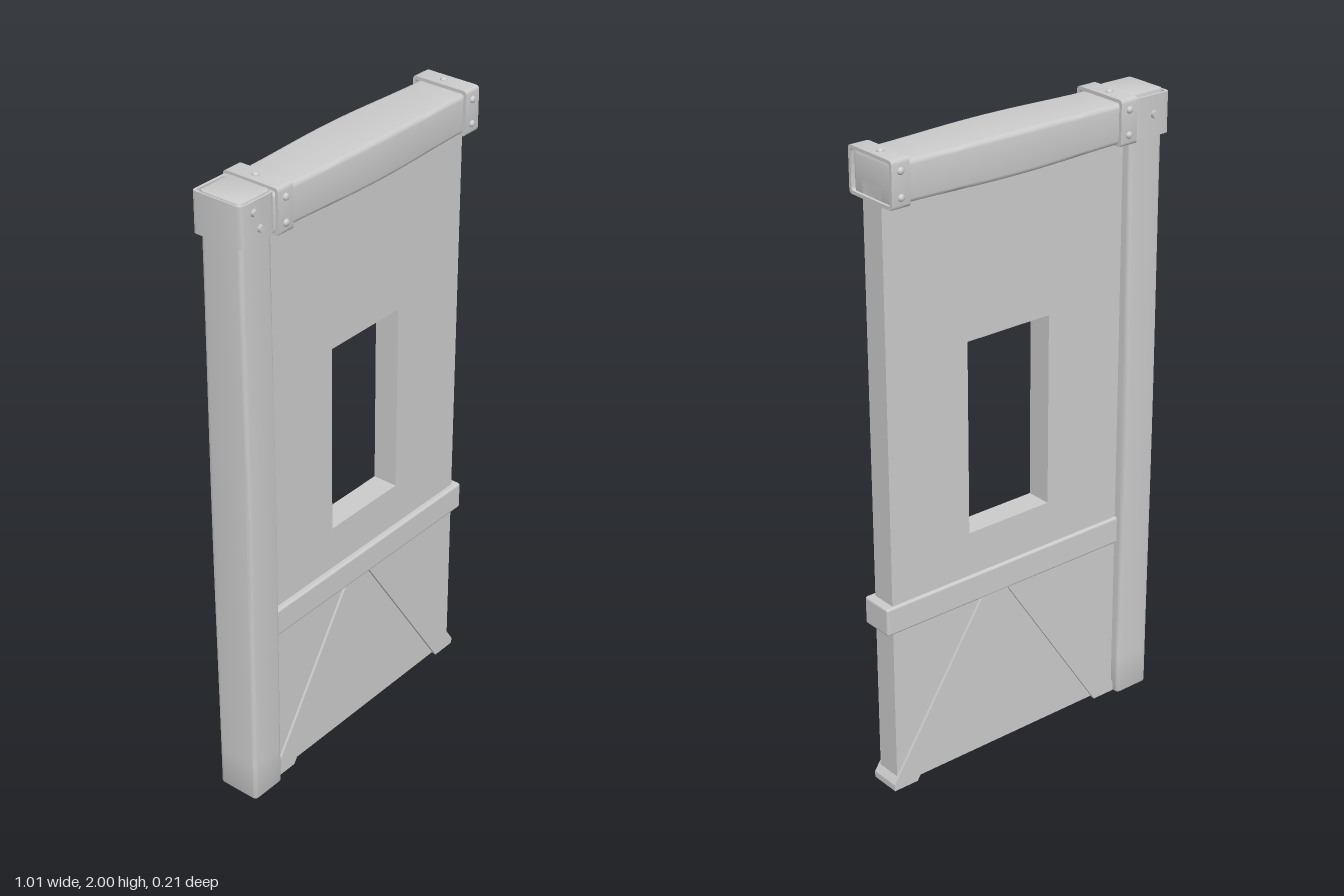
import * as THREE from 'three';
import { toCreasedNormals } from 'three/addons/utils/BufferGeometryUtils.js';
import { RoundedBoxGeometry } from 'three/addons/geometries/RoundedBoxGeometry.js';

const material = new THREE.MeshStandardMaterial({ color: 0xcccccc });

function add(parent, name, geometry, x = 0, y = 0, z = 0) {
  const mesh = new THREE.Mesh(geometry, material);
  mesh.name = name;
  mesh.position.set(x, y, z);
  parent.add(mesh);
  return mesh;
}

// Rectangle with rounded corners, centred on the origin
function roundedRect(w, h, r, Type = THREE.Shape) {
  const s = new Type(), a = w / 2, b = h / 2;
  s.moveTo(-a + r, -b);
  s.lineTo(a - r, -b).quadraticCurveTo(a, -b, a, -b + r);
  s.lineTo(a, b - r).quadraticCurveTo(a, b, a - r, b);
  s.lineTo(-a + r, b).quadraticCurveTo(-a, b, -a, b - r);
  s.lineTo(-a, -b + r).quadraticCurveTo(-a, -b, -a + r, -b);
  return s;
}

// Timber along z, gently reshaped by warp(t) = [width scale, height scale, x shift, y shift]
function timber(w, h, length, warp) {
  const bevel = 0.006;
  const g = new THREE.ExtrudeGeometry(roundedRect(w - 2 * bevel, h - 2 * bevel, 0.008), {
    depth: length - 2 * bevel, steps: 16, curveSegments: 3,
    bevelThickness: bevel, bevelSize: bevel, bevelSegments: 2,
  }).translate(0, 0, bevel);
  const p = g.attributes.position;
  for (let i = 0; i < p.count; i++) {
    const [sx, sy, dx, dy] = warp(p.getZ(i) / length);
    p.setXY(i, p.getX(i) * sx + dx, p.getY(i) * sy + dy);
  }
  return toCreasedNormals(g, 0.6);
}

// Hollow band, extruded along z and centred
function sleeve(w, h, length, wall) {
  const s = roundedRect(w, h, 0.012);
  s.holes.push(roundedRect(w - 2 * wall, h - 2 * wall, 0.008, THREE.Path));
  const g = new THREE.ExtrudeGeometry(s, { depth: length, bevelEnabled: false, curveSegments: 3 });
  return toCreasedNormals(g.translate(0, 0, -length / 2), 0.6);
}

// Slab from a front outline, between z0 and z1
function slab(points, z0, z1, hole) {
  const s = new THREE.Shape(points.map(p => new THREE.Vector2(...p)));
  if (hole) s.holes.push(new THREE.Path(hole.map(p => new THREE.Vector2(...p))));
  return new THREE.ExtrudeGeometry(s, { depth: z1 - z0, bevelEnabled: false }).translate(0, 0, z0);
}

const rect = (x0, x1, y0, y1) => [[x0, y0], [x1, y0], [x1, y1], [x0, y1]];

export function createModel() {
  const model = new THREE.Group();
  model.name = 'timberWall';

  // Plaster panel with window opening
  add(model, 'wallPanel', slab(rect(-0.4, 0.48, 0.01, 1.9), -0.035, 0.047,
    rect(-0.105, 0.195, 0.77, 1.38)));

  // Corner post, slightly swollen at mid height
  const post = timber(0.122, 0.142, 1.988, t => {
    const b = Math.sin(Math.PI * Math.min(1, t * 1.07)) ** 2;
    return [1 - 0.02 * b, 1 + 0.07 * b, 0, 0];
  }).rotateX(-Math.PI / 2);
  add(model, 'cornerPost', post, -0.44, 0, 0.004);

  // Top beam, bulging in the middle
  const beam = timber(0.166, 0.118, 0.86, t => {
    const b = Math.sin(Math.PI * t) ** 2;
    return [1 + 0.12 * b, 1 + 0.08 * b, 0, 0];
  }).rotateY(Math.PI / 2);
  add(model, 'topBeam', beam, -0.38, 1.917, 0);

  // Waist rail
  add(model, 'waistRail', new RoundedBoxGeometry(0.905, 0.09, 0.11, 2, 0.008), 0.053, 0.585, 0.01);

  // Diagonal braces under the rail
  add(model, 'leftBrace', slab([[0.15, 0.55], [0.05, 0.55], [0.41, 0], [0.495, 0], [0.495, 0.02]],
    -0.044, 0.056));
  add(model, 'rightBrace', slab([[0.06, 0.55], [-0.04, 0.55], [-0.39, 0.015], [-0.39, 0], [-0.3, 0]],
    -0.043, 0.055));

  // Metal sleeve round the post head
  add(model, 'postSleeve', sleeve(0.13, 0.17, 0.123, 0.009).rotateX(-Math.PI / 2), -0.44, 1.92, -0.004);

  // Sleeve bolts: two in front, one behind
  const bolts = [[-0.455, 1.95, 1], [-0.432, 1.897, 1], [-0.445, 1.925, -1]];
  for (const [x, y, side] of bolts) {
    const z = side > 0 ? 0.084 : -0.092;
    const bolt = add(model, 'sleeveBolt',
      new THREE.CylinderGeometry(0.012, 0.013, 0.014, 6), x, y, z);
    bolt.rotation.x = side * Math.PI / 2;
  }

  // Beam straps with domed rivets on the top and both faces
  const dome = new THREE.SphereGeometry(0.011, 12, 6, 0, Math.PI * 2, 0, Math.PI / 2).scale(1, 0.75, 1);
  for (const x of [-0.346, 0.459]) {
    const strap = new THREE.Group();
    strap.name = 'beamStrap';
    strap.position.set(x, 1.922, 0);
    add(strap, 'band', sleeve(0.19, 0.138, 0.06, 0.01).rotateY(Math.PI / 2));
    add(strap, 'rivet', dome, 0, 0.069, -0.008);
    for (const side of [-1, 1]) for (const y of [-0.037, 0.037]) {
      add(strap, 'rivet', dome, 0, y, side * 0.095).rotation.x = side * Math.PI / 2;
    }
    model.add(strap);
  }
  return model;
}
